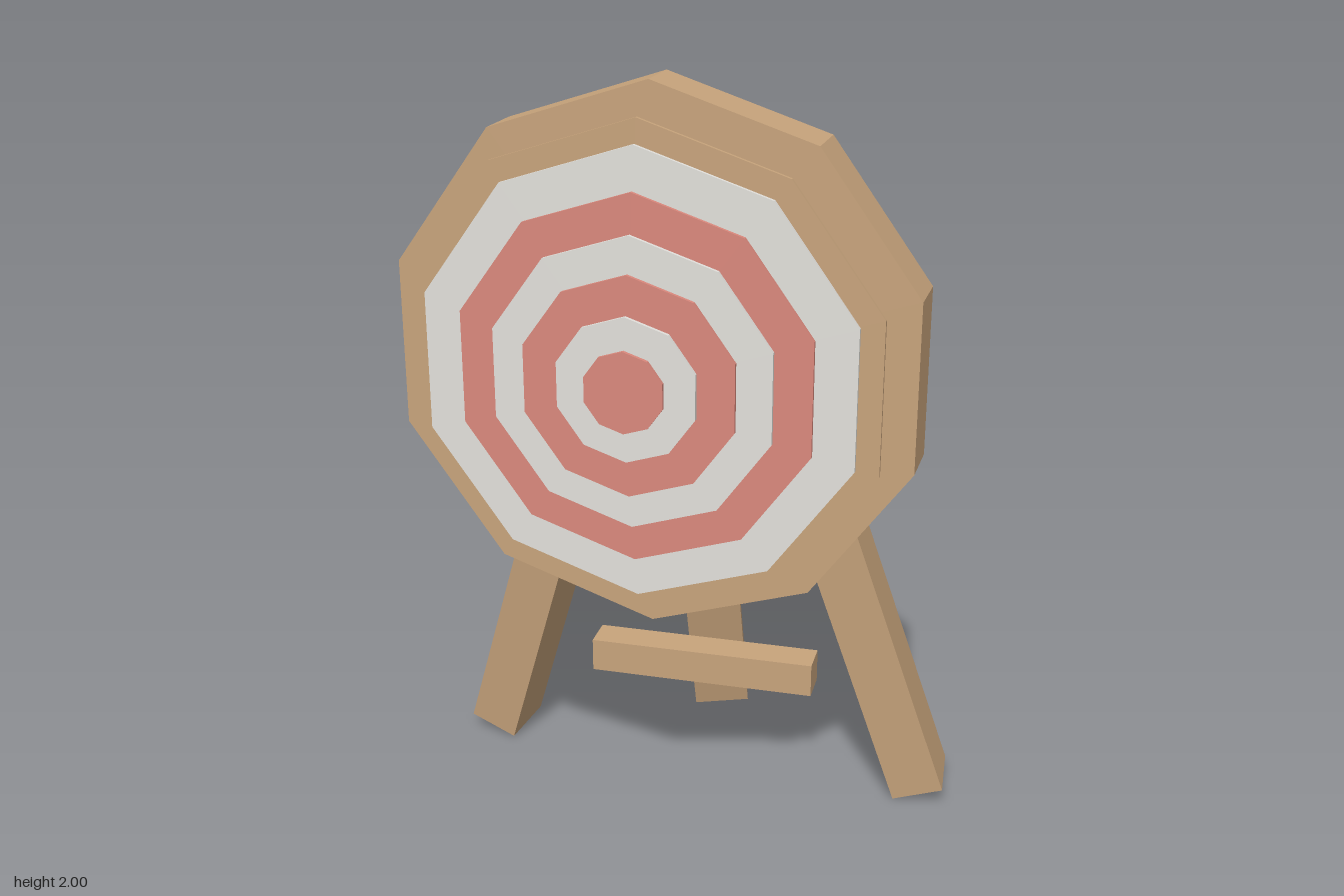
import * as THREE from 'three';

function flat(name, color) {
  const m = new THREE.MeshStandardMaterial({ color, flatShading: true });
  m.name = name;
  return m;
}

export function createModel() {
  const wood = flat('wood', 0xc8a47c);
  const white = flat('white paint', 0xe3e1dc);
  const red = flat('red paint', 0xdb897d);
  const model = new THREE.Group();
  model.name = 'archeryTarget';

  // Ten-sided disc facing +z, with a corner pointing up
  function disc(name, radius, zBack, zFront, material) {
    const g = new THREE.CylinderGeometry(radius, radius, zFront - zBack, 10);
    g.rotateX(Math.PI / 2);
    const mesh = new THREE.Mesh(g, material);
    mesh.name = name;
    mesh.position.set(-0.012, 1.328, (zBack + zFront) / 2);
    model.add(mesh);
  }

  disc('targetBoard', 0.673, 0.13, 0.27, wood);

  // Thin rings floating in front, smaller towards the viewer: radius, back z, colour
  const rings = [
    [0.604, 0.355, wood],
    [0.548, 0.377, white],
    [0.446, 0.397, red],
    [0.353, 0.416, white],
    [0.267, 0.436, red],
    [0.175, 0.453, white],
    [0.099, 0.47, red],
  ];
  rings.forEach(([r, z, m], i) => disc(`targetRing${i + 1}`, r, z, z + 0.0095, m));

  // Square-cut beam between two end centres; side gives the direction of its width
  function beam(name, bottom, top, side, width, depth) {
    const a = new THREE.Vector3(...bottom);
    const b = new THREE.Vector3(...top);
    const axis = b.clone().sub(a);
    const length = axis.length();
    axis.normalize();
    const x = new THREE.Vector3(...side);
    x.addScaledVector(axis, -x.dot(axis)).normalize();
    const z = new THREE.Vector3().crossVectors(x, axis);
    const mesh = new THREE.Mesh(new THREE.BoxGeometry(width, length, depth), wood);
    mesh.name = name;
    mesh.quaternion.setFromRotationMatrix(new THREE.Matrix4().makeBasis(x, axis, z));
    mesh.position.copy(a).add(b).multiplyScalar(0.5);
    model.add(mesh);
  }

  // Tripod legs
  beam('leftLeg', [0.62, 0.034, -0.18], [0.207, 1.312, -0.039], [0.134, 0.044, -0.01], 0.141, 0.162);
  beam('rightLeg', [-0.621, 0.034, -0.198], [-0.207, 1.312, -0.017], [0.135, -0.044, 0.015], 0.141, 0.162);
  beam('backLeg', [-0.012, 0.121, -0.393], [-0.012, 1.468, -0.004], [0.146, 0.0125, -0.042], 0.152, 0.155);

  // Crossbar, turned slightly out of square
  const bar = new THREE.Mesh(new THREE.BoxGeometry(0.627, 0.093, 0.096), wood);
  bar.name = 'crossbar';
  bar.position.set(0, 0.315, -0.166);
  bar.rotation.y = 0.038;
  model.add(bar);

  return model;
}
